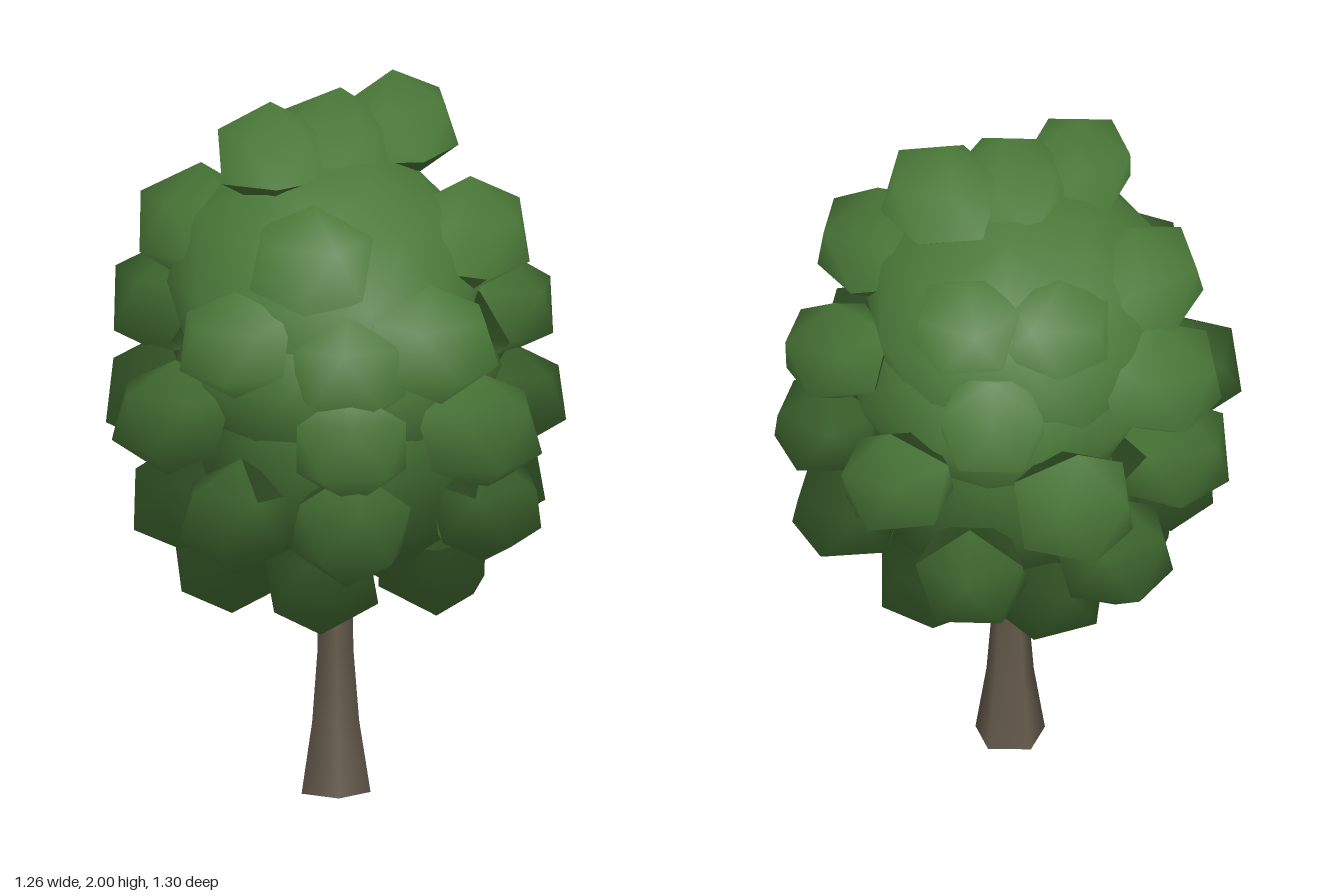
import * as THREE from 'three';
import { mergeVertices } from 'three/addons/utils/BufferGeometryUtils.js';

const CROWN_CENTRE = new THREE.Vector3(-0.01, 1.15, 0);

// Low-poly ball with one vertex pointing up
function ball(detail) {
  let g = new THREE.IcosahedronGeometry(1, detail);
  g.deleteAttribute('normal');
  g.deleteAttribute('uv');
  g = mergeVertices(g, 1e-4);
  g.rotateZ(Math.atan(2 / (1 + Math.sqrt(5))));
  g.computeVertexNormals();
  return g;
}

// Lean each normal toward the crown's outward direction, so the foliage shades as one mass
function softenNormals(g) {
  const { position, normal } = g.attributes;
  const n = new THREE.Vector3(), out = new THREE.Vector3();
  for (let i = 0; i < position.count; i++) {
    out.fromBufferAttribute(position, i).sub(CROWN_CENTRE).normalize();
    n.fromBufferAttribute(normal, i).multiplyScalar(0.35).add(out).normalize();
    normal.setXYZ(i, n.x, n.y, n.z);
  }
}

export function createModel() {
  const tree = new THREE.Group();
  tree.name = 'tree';
  const leafGreen = new THREE.MeshStandardMaterial({ color: 0x4a7838 });
  leafGreen.name = 'leafGreen';
  const barkBrown = new THREE.MeshStandardMaterial({ color: 0x655a4b });
  barkBrown.name = 'barkBrown';

  // Five-sided trunk, flared at the root, with a flat base
  const trunk = new THREE.Group();
  trunk.name = 'trunk';
  trunk.position.set(-0.02, 0, -0.01);
  const turnStart = THREE.MathUtils.degToRad(25);
  const profile = [[0.1, 0], [0.068, 0.2], [0.052, 0.4], [0.047, 0.75]]
    .map(([r, y]) => new THREE.Vector2(r, y));
  const stem = new THREE.Mesh(new THREE.LatheGeometry(profile, 5, turnStart), barkBrown);
  stem.name = 'trunkStem';
  const base = new THREE.Mesh(
    new THREE.CircleGeometry(0.1, 5, Math.PI / 2 - turnStart).rotateX(Math.PI / 2), barkBrown);
  base.name = 'trunkBase';
  trunk.add(stem, base);
  tree.add(trunk);

  const addFoliage = (name, shape, [x, y, z], r, h, turn = [0, 0, 0]) => {
    const g = shape.clone().rotateY(turn[1]).rotateX(turn[0]).rotateZ(turn[2]);
    g.scale(r, h, r).translate(x, y, z);
    softenNormals(g);
    const mesh = new THREE.Mesh(g, leafGreen);
    mesh.name = name;
    tree.add(mesh);
  };

  // Inner crown masses
  const coreGeo = ball(1);
  addFoliage('lowerCrown', coreGeo, [-0.02, 0.93, 0], 0.42, 0.34);
  addFoliage('middleCrown', coreGeo, [-0.02, 1.2, 0], 0.45, 0.27);
  addFoliage('upperCrown', coreGeo, [-0.03, 1.43, -0.04], 0.43, 0.4);

  // Leaf clumps by tier, from the top down: [x, y, z, half height]
  const tiers = {
    top: [[0.18, 1.842, 0.06, 0.16], [-0.22, 1.815, -0.08, 0.15], [-0.01, 1.815, -0.02, 0.16]],
    upper: [[0.18, 1.57, 0.3, 0.17], [0.34, 1.6, -0.19, 0.15], [-0.19, 1.58, -0.35, 0.17],
      [-0.33, 1.56, 0.14, 0.17], [0.13, 1.56, -0.33, 0.155]],
    middle: [[-0.15, 1.34, 0.43, 0.17], [0.38, 1.33, 0.26, 0.152], [0.36, 1.34, -0.31, 0.15],
      [-0.13, 1.34, -0.475, 0.175], [-0.48, 1.34, -0.01, 0.155], [-0.33, 1.27, 0.27, 0.16]],
    widest: [[-0.02, 1.08, 0.48, 0.172], [0.39, 1.075, 0.29, 0.15], [0.48, 1.1, -0.065, 0.157],
      [0.21, 1.08, -0.475, 0.172], [-0.16, 1.08, -0.48, 0.172], [-0.46, 1.1, -0.24, 0.162],
      [-0.39, 1.08, 0.32, 0.16]],
    lower: [[0.06, 0.85, 0.44, 0.162], [0.39, 0.84, 0.21, 0.157], [0.38, 0.83, -0.25, 0.157],
      [0.04, 0.84, -0.46, 0.167], [-0.31, 0.84, -0.29, 0.165], [-0.45, 0.85, -0.02, 0.162],
      [-0.38, 0.85, 0.31, 0.165]],
    bottom: [[0.09, 0.66, 0.24, 0.157], [0.28, 0.67, -0.02, 0.16], [0.1, 0.67, -0.27, 0.16],
      [-0.26, 0.66, 0.12, 0.16], [-0.24, 0.67, -0.2, 0.16]],
  };
  const clumpGeo = ball(0);
  for (const [tier, spots] of Object.entries(tiers)) {
    spots.forEach(([x, y, z, h], i) => {
      // Slight lean that varies from clump to clump
      const turn = [0.08 * Math.sin(i * 2.3 + y * 9), i * 1.1 + y * 5, 0.08 * Math.cos(i * 1.7)];
      addFoliage(`${tier}LeafClump${i + 1}`, clumpGeo, [x, y, z], h * 1.1, h, turn);
    });
  }
  return tree;
}
